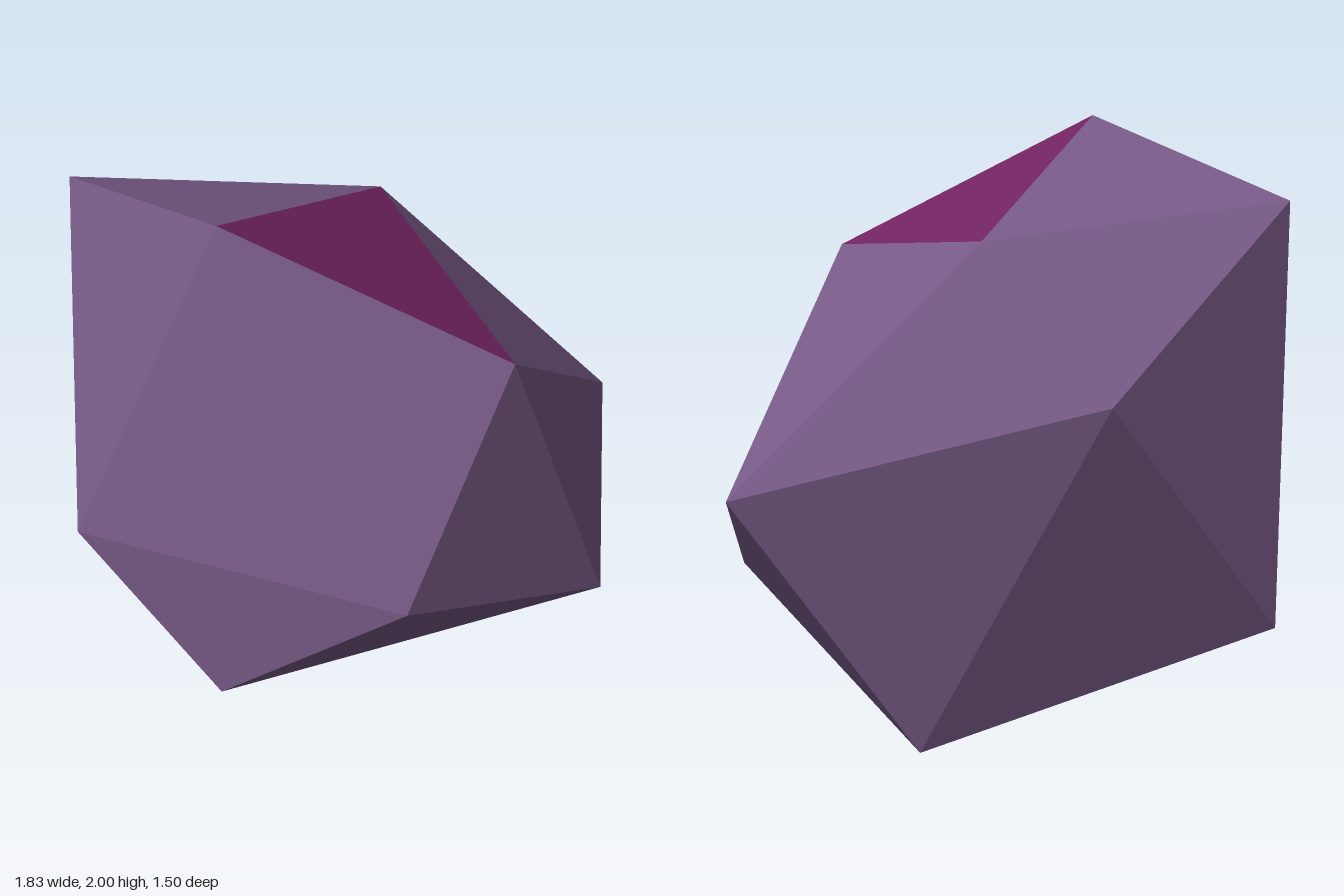
import * as THREE from 'three';

// Irregular twenty-sided stone: two poles and two staggered rings of five corners
const TOP = [-0.14, 2, 0.52];
const BOTTOM = [0.15, 0, -0.46];
const UPPER = [[-0.9, 1.74, 0.1], [-0.56, 0.88, 0.75], [0.56, 0.94, 0.72], [0.67, 1.56, 0.21], [-0.05, 1.63, -0.43]];
const LOWER = [[-0.92, 0.41, -0.12], [-0.09, 0.33, 0.71], [0.91, 0.49, -0.12], [0.67, 0.84, -0.75], [-0.52, 1.17, -0.64]];
const ACCENT_SIDE = 3; // the cap face that carries the accent colour

function facetMesh(name, faces, material) {
  const geometry = new THREE.BufferGeometry();
  geometry.setAttribute('position', new THREE.Float32BufferAttribute(faces.flat(2), 3));
  geometry.computeVertexNormals();
  const mesh = new THREE.Mesh(geometry, material);
  mesh.name = name;
  return mesh;
}

export function createModel() {
  const purple = new THREE.MeshStandardMaterial({ color: 0x775a86 });
  purple.name = 'dusty purple';
  const magenta = new THREE.MeshStandardMaterial({ color: 0x712460 });
  magenta.name = 'dark magenta';

  const body = [];
  const accent = [];
  for (let i = 0; i < 5; i++) {
    const j = (i + 1) % 5;
    // Upper cap
    (i === ACCENT_SIDE ? accent : body).push([TOP, UPPER[i], UPPER[j]]);
    // Middle band
    body.push([UPPER[i], LOWER[i], UPPER[j]], [LOWER[i], LOWER[j], UPPER[j]]);
    // Lower cap
    body.push([BOTTOM, LOWER[j], LOWER[i]]);
  }

  const model = new THREE.Group();
  model.name = 'facetedStone';
  model.add(facetMesh('stoneBody', body, purple), facetMesh('accentFacet', accent, magenta));
  return model;
}
